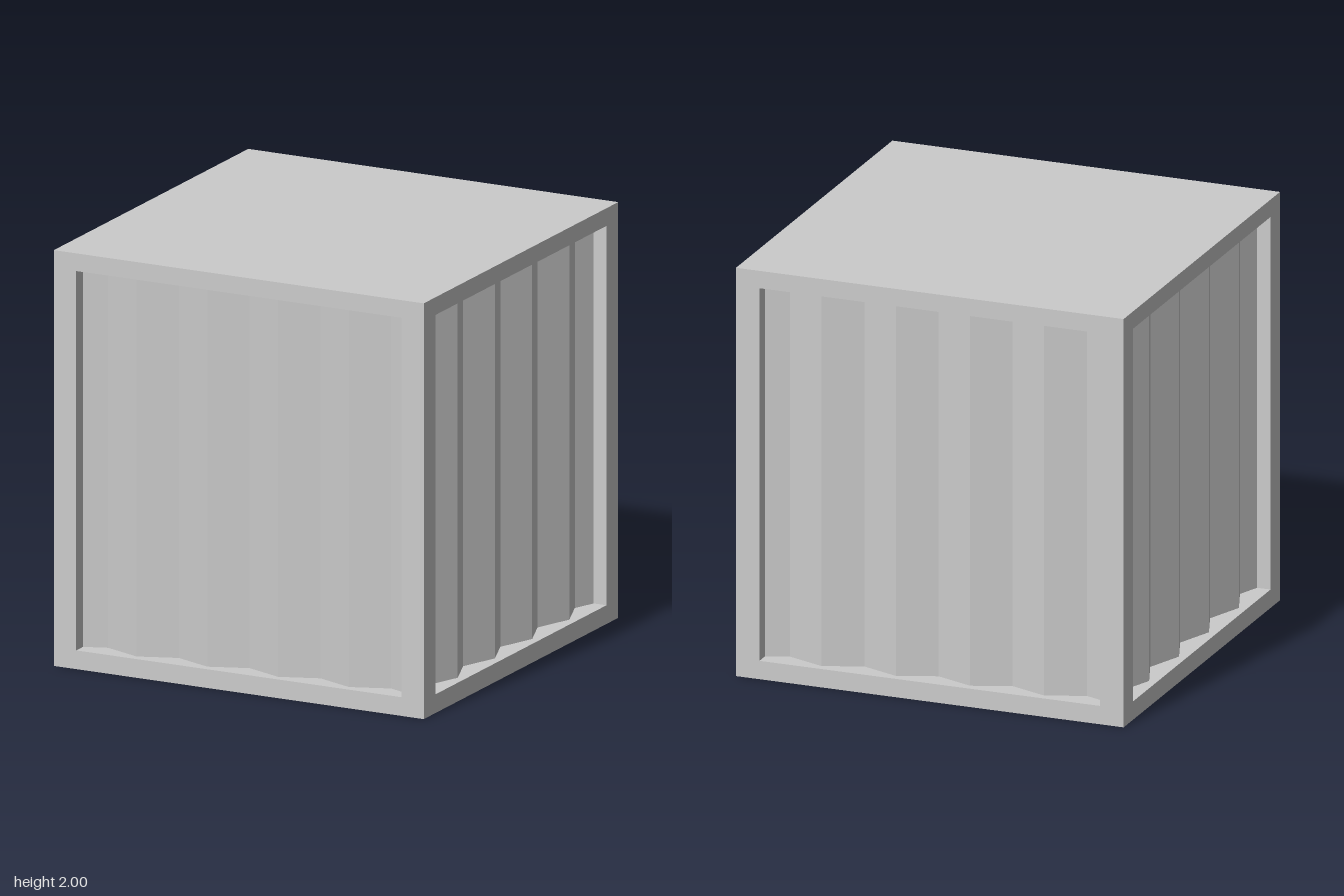
import * as THREE from 'three';

const HALF = 0.967;      // outer half width
const OPEN = 0.85;       // half width of each side opening
const BOTTOM = 0.09, TOP = 1.915, HEIGHT = 2;
const PITCH = 0.185;     // ridge-to-valley spacing
const RIDGE = 0.928, VALLEY = 0.859;

const grey = new THREE.MeshStandardMaterial({ color: 0xcccccc, flatShading: true });
const sheet = new THREE.MeshStandardMaterial({ color: 0xcccccc, flatShading: true, side: THREE.DoubleSide });

function box(name, w, h, d, x, y, z) {
  const mesh = new THREE.Mesh(new THREE.BoxGeometry(w, h, d), grey);
  mesh.name = name;
  mesh.position.set(x, y, z);
  return mesh;
}

// Zigzag sheet facing +z, with a valley at its middle
function corrugatedGeometry() {
  const xs = [-OPEN];
  for (let i = -4; i <= 4; i++) xs.push(i * PITCH);
  xs.push(OPEN);
  const geo = new THREE.PlaneGeometry(2 * OPEN, TOP - BOTTOM, xs.length - 1, 1);
  const pos = geo.attributes.position;
  for (let i = 0; i < pos.count; i++) {
    const x = xs[i % xs.length];
    const phase = (Math.abs(x) / PITCH) % 2;
    const rise = 1 - Math.abs(phase - 1);
    pos.setX(i, x);
    pos.setZ(i, VALLEY + (RIDGE - VALLEY) * rise);
  }
  geo.computeVertexNormals();
  return geo;
}

export function createModel() {
  const model = new THREE.Group();
  model.name = 'corrugatedContainer';

  // Floor and roof slabs
  model.add(box('floor', 2 * HALF, BOTTOM, 2 * HALF, 0, BOTTOM / 2, 0));
  model.add(box('roof', 2 * HALF, HEIGHT - TOP, 2 * HALF, 0, (HEIGHT + TOP) / 2, 0));

  // Four corner posts
  const postWidth = HALF - OPEN, centre = (HALF + OPEN) / 2, middle = (TOP + BOTTOM) / 2;
  for (const sx of [-1, 1]) {
    for (const sz of [-1, 1]) {
      model.add(box('cornerPost', postWidth, TOP - BOTTOM, postWidth, sx * centre, middle, sz * centre));
    }
  }

  // Recessed corrugated walls
  const wallGeometry = corrugatedGeometry();
  ['frontWall', 'leftWall', 'backWall', 'rightWall'].forEach((name, i) => {
    const wall = new THREE.Mesh(wallGeometry, sheet);
    wall.name = name;
    wall.position.y = middle;
    wall.rotation.y = i * Math.PI / 2;
    model.add(wall);
  });

  return model;
}
